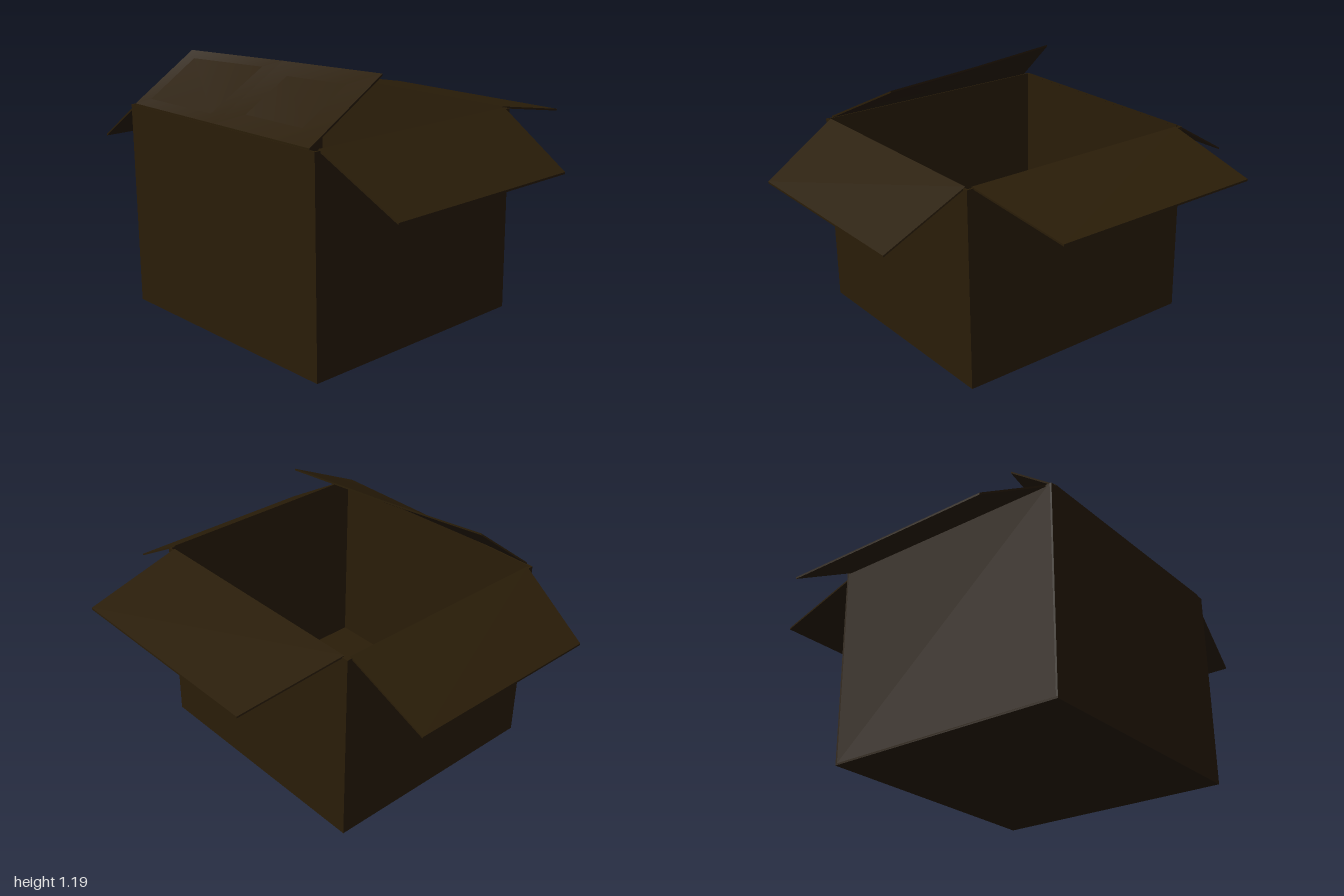
import * as THREE from 'three';
import { toCreasedNormals } from 'three/addons/utils/BufferGeometryUtils.js';

const HALF_W = 0.632, FRONT = 0.84, BACK = -0.338, TOP = 0.958, WALL = 0.009;

// Thin board swept through stations [hinge point, tip point] along its hinge
function flap(name, stations, material) {
  const sections = stations.map(([h, t]) => [
    h, t, [t[0], t[1] - WALL, t[2]], [h[0], h[1] - WALL, h[2]],
  ]);
  const pos = [];
  const quad = (a, b, c, d) => pos.push(...a, ...b, ...c, ...a, ...c, ...d);
  for (let i = 0; i + 1 < sections.length; i++) {
    const s = sections[i], n = sections[i + 1];
    for (let k = 0; k < 4; k++) {
      const j = (k + 1) % 4;
      quad(s[k], n[k], n[j], s[j]);
    }
  }
  quad(...sections[0]);
  quad(...sections[sections.length - 1].slice().reverse());
  const geo = new THREE.BufferGeometry();
  geo.setAttribute('position', new THREE.Float32BufferAttribute(pos, 3));
  const mesh = new THREE.Mesh(toCreasedNormals(geo, Math.PI / 6), material);
  mesh.name = name;
  return mesh;
}

export function createModel() {
  const group = new THREE.Group();
  group.name = 'openBox';
  const cardboard = new THREE.MeshStandardMaterial({ color: 0x2a1d08, side: THREE.DoubleSide });
  cardboard.name = 'darkCardboard';

  // Floor and four walls
  const depth = FRONT - BACK, midZ = (FRONT + BACK) / 2;
  const panel = (name, w, h, d, x, y, z) => {
    const mesh = new THREE.Mesh(new THREE.BoxGeometry(w, h, d), cardboard);
    mesh.name = name;
    mesh.position.set(x, y, z);
    group.add(mesh);
  };
  panel('floor', 2 * HALF_W, WALL, depth, 0, WALL / 2, midZ);
  const wallH = TOP - WALL, wallY = (TOP + WALL) / 2;
  panel('frontWall', 2 * HALF_W, wallH, WALL, 0, wallY, FRONT - WALL / 2);
  panel('backWall', 2 * HALF_W, wallH, WALL, 0, wallY, BACK + WALL / 2);
  for (const s of [1, -1]) {
    panel(s > 0 ? 'leftWall' : 'rightWall', WALL, wallH, depth - 2 * WALL,
      s * (HALF_W - WALL / 2), wallY, midZ);
  }

  // Side flaps hang outwards
  for (const s of [1, -1]) {
    const ends = [
      [[s * 0.622, 0.964, -0.313], [s, 0.745, -0.263]],
      [[s * 0.622, 0.964, 0.812], [s, 0.745, 0.762]],
    ];
    if (s < 0) ends.reverse();
    group.add(flap(s > 0 ? 'leftFlap' : 'rightFlap', ends, cardboard));
  }

  // Back flap droops backwards
  group.add(flap('backFlap', [
    [[-0.6, 0.963, -0.327], [-0.535, 0.869, -0.838]],
    [[0.6, 0.963, -0.327], [0.535, 0.869, -0.838]],
  ], cardboard));

  // Front flap is folded inwards and bent, with one end closed further
  group.add(flap('frontFlap', [
    [[-0.6, 0.966, 0.838], [-0.535, 1.19, 0.56]],
    [[0, 0.966, 0.838], [0, 1.19, 0.46]],
    [[0.6, 0.966, 0.838], [0.535, 1.19, 0.38]],
  ], cardboard));

  return group;
}
